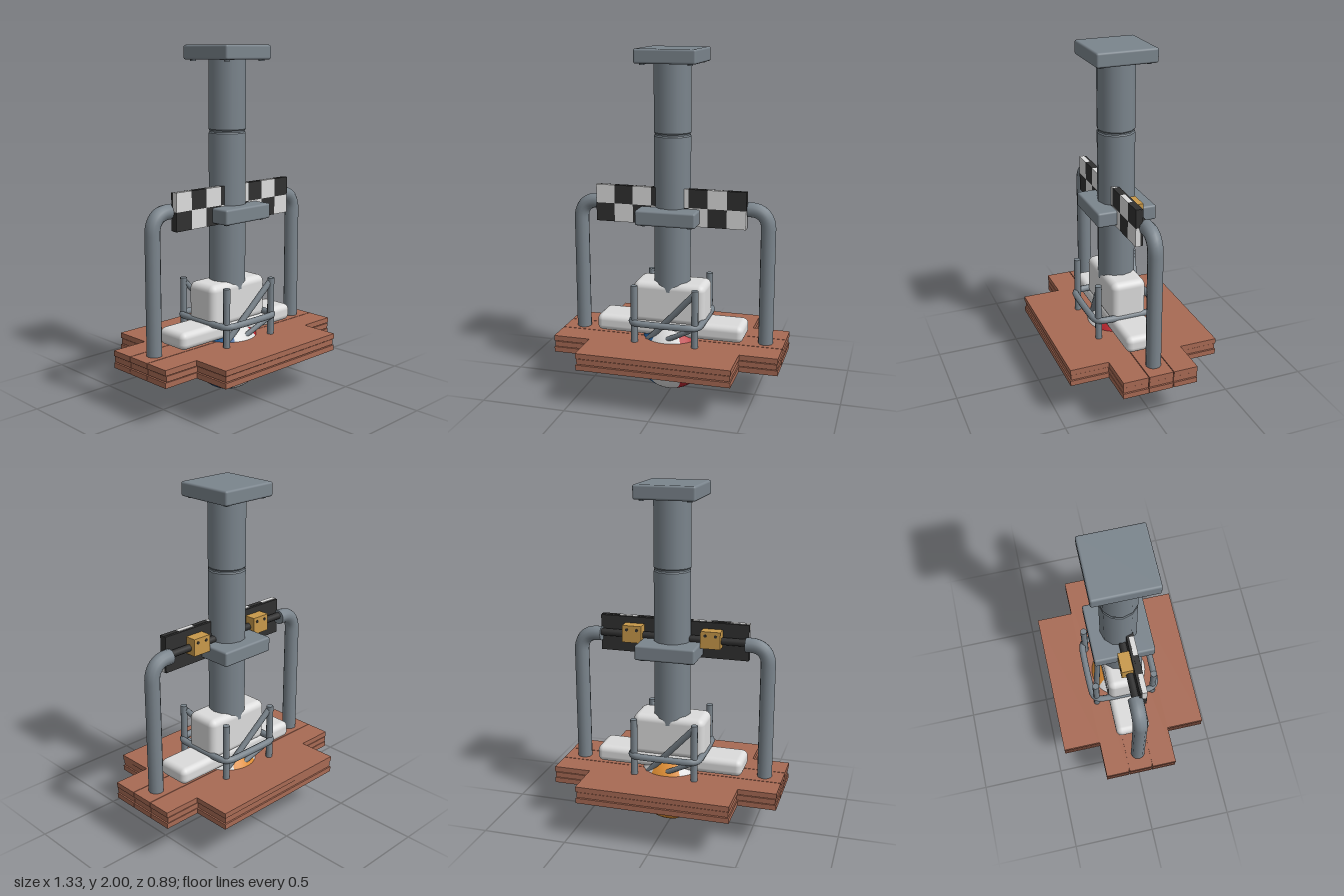
import * as THREE from 'three';
import { RoundedBoxGeometry } from 'three/addons/geometries/RoundedBoxGeometry.js';

function mat(name, color) {
  const m = new THREE.MeshStandardMaterial({ color });
  m.name = name;
  return m;
}

export function createModel() {
  const model = new THREE.Group();
  model.name = 'model';
  const steel = mat('steel', 0x7b858d), white = mat('white', 0xdcdcdc);
  const brick = mat('brick', 0xa86a54), black = mat('black', 0x303030);
  const gold = mat('gold', 0xc8994a), red = mat('red', 0xb8252e);
  const blue = mat('blue', 0x215a94), orange = mat('orange', 0xdc8c33);

  const add = (name, geo, material, x = 0, y = 0, z = 0) => {
    const m = new THREE.Mesh(geo, material);
    m.name = name;
    m.position.set(x, y, z);
    model.add(m);
    return m;
  };
  const box = (name, material, w, h, d, x, y, z) =>
    add(name, new THREE.BoxGeometry(w, h, d), material, x, y, z);
  const rounded = (name, material, w, h, d, r, y) =>
    add(name, new RoundedBoxGeometry(w, h, d, 3, r), material, 0, y, 0);
  // round bar between two points
  const bar = (name, material, a, b, r, sides = 10) => {
    const p = new THREE.Vector3(...a), q = new THREE.Vector3(...b);
    const dir = q.clone().sub(p);
    const m = add(name, new THREE.CylinderGeometry(r, r, dir.length(), sides), material);
    m.position.copy(p).add(q).multiplyScalar(0.5);
    m.quaternion.setFromUnitVectors(new THREE.Vector3(0, 1, 0), dir.normalize());
    return m;
  };

  // column with a narrow groove at the joint
  const column = [[0, 0.62], [0.108, 0.62], [0.108, 1.515], [0.103, 1.522], [0.103, 1.53], [0.108, 1.537], [0.108, 1.93]];
  for (let i = 1; i < column.length - 1; i++) {
    const [r0, y0] = column[i], [r1, y1] = column[i + 1];
    add('column', new THREE.CylinderGeometry(r1, r0, y1 - y0, 12, 1, true), steel, 0, (y0 + y1) / 2, 0);
  }

  // flanges with bolts underneath
  for (const [y, h] of [[1.96, 0.08], [1.067, 0.087]]) {
    rounded('flange', steel, 0.35, h, 0.35, 0.012, y);
    for (const x of [-0.135, 0.135]) for (const z of [-0.135, 0.135]) {
      add('flangeBolt', new THREE.CylinderGeometry(0.016, 0.016, 0.012, 8), steel, x, y - h / 2 - 0.002, z);
    }
  }

  // checkered board on a black backing
  box('boardBacking', black, 0.88, 0.21, 0.014, 0, 1.117, 0.028);
  for (let c = 0; c < 8; c++) for (let r = 0; r < 2; r++) {
    box('boardTile', (c + r) % 2 ? white : black, 0.11, 0.107, 0.028, -0.385 + c * 0.11, 1.064 + r * 0.107, 0.049);
  }

  // planked deck in three layers
  const planks = [
    [0.665, -0.22, -0.078], [0.665, -0.074, 0.068], [0.665, 0.072, 0.22],
    [0.445, -0.445, -0.22], [0.445, 0.22, 0.445],
  ];
  for (let layer = 0; layer < 3; layer++) {
    const inset = layer === 1 ? 0.005 : 0;
    for (const [hx, z0, z1] of planks) {
      box('deckPlank', brick, 2 * (hx - inset), 0.031, z1 - z0 - (hx < 0.5 ? inset : 0),
        0, 0.2455 + layer * 0.035, (z0 + z1) / 2 - (hx < 0.5 ? Math.sign(z0) * inset / 2 : 0));
    }
  }
  box('deckCore', brick, 1.3, 0.09, 0.42, 0, 0.28, 0);
  box('deckCore', brick, 0.86, 0.09, 0.86, 0, 0.28, 0);

  // bent side pipes, axles, clamps and ball bearings
  for (const s of [-1, 1]) {
    const path = new THREE.CurvePath();
    const v = (x, y) => new THREE.Vector3(s * x, y, 0);
    path.add(new THREE.LineCurve3(v(0.557, 0.228), v(0.557, 1.01)));
    path.add(new THREE.CubicBezierCurve3(v(0.557, 1.01), v(0.557, 1.075), v(0.52, 1.113), v(0.46, 1.115)));
    path.add(new THREE.LineCurve3(v(0.46, 1.115), v(0.435, 1.115)));
    add('sidePipe', new THREE.TubeGeometry(path, 60, 0.043, 12), steel);
    bar('pipeCap', steel, [s * 0.44, 1.115, 0], [s * 0.428, 1.115, 0], 0.043, 12);
    bar('pipeFoot', steel, [s * 0.557, 0.226, 0], [s * 0.557, 0.24, 0], 0.043, 12);
    bar('axle', black, [s * 0.435, 1.125, 0], [s * 0.1, 1.125, 0], 0.021, 10);
    box('clamp', gold, 0.115, 0.1, 0.066, s * 0.232, 1.135, -0.012);
    for (const dx of [-0.03, 0.03]) {
      bar('clampBolt', black, [s * 0.232 + dx, 1.16, -0.04], [s * 0.232 + dx, 1.16, -0.048], 0.009, 8);
    }
    bar('ballBearing', steel, [s * 0.19, 0.222, 0], [s * 0.216, 0.222, 0], 0.055, 8);
  }

  // rounded housing
  rounded('housingTop', white, 0.43, 0.25, 0.21, 0.04, 0.545);
  rounded('housingBase', white, 0.88, 0.1, 0.21, 0.035, 0.395);

  // guard rings: rounded squares
  const ringGeo = (h, r, tube) => {
    const pts = [];
    for (let k = 0; k < 4; k++) for (let i = 0; i <= 4; i++) {
      const a = (k + i / 4) * Math.PI / 2, m = (k + 0.5) * Math.PI / 2;
      const c = (h - r) * Math.SQRT2;
      pts.push(new THREE.Vector3(Math.cos(m) * c + Math.cos(a) * r, 0, Math.sin(m) * c + Math.sin(a) * r));
    }
    const curve = new THREE.CatmullRomCurve3(pts, true, 'centripetal');
    return new THREE.TubeGeometry(curve, 80, tube, 8, true);
  };
  add('guardRing', ringGeo(0.202, 0.055, 0.02), steel, 0, 0.45, 0);
  add('lowerRing', ringGeo(0.205, 0.055, 0.014), steel, 0, 0.216, 0);

  // guard posts and diagonal braces
  for (const x of [-0.18, 0.18]) for (const z of [-0.18, 0.18]) {
    bar('guardPost', steel, [x, 0.32, z], [x, 0.67, z], 0.02);
  }
  for (const s of [-1, 1]) {
    bar('brace', steel, [s * 0.175, 0.645, s * 0.175], [s * -0.12, 0.32, s * 0.11], 0.018);
    bar('brace', steel, [s * 0.19, 0.45, s * 0.19], [s * -0.04, 0.32, s * 0.13], 0.015);
  }

  // ball in six gores
  [blue, white, red, white, orange, white].forEach((m, i) => {
    add('ballPanel', new THREE.SphereGeometry(0.21, 10, 28, i * Math.PI / 3, Math.PI / 3), m, 0, 0.21, 0);
  });

  return model;
}
